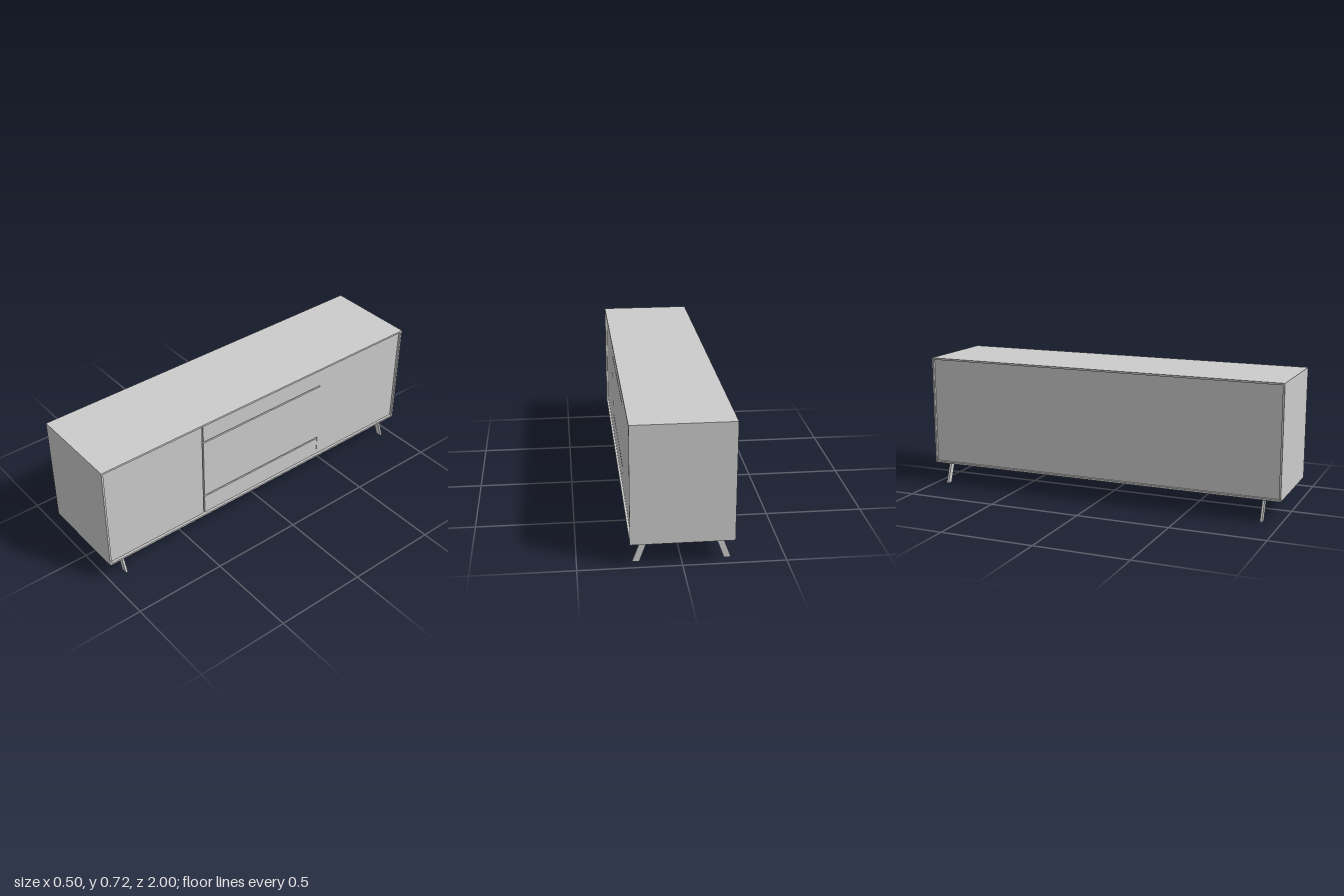
import * as THREE from 'three';

export function createModel() {
  const model = new THREE.Group();
  const material = new THREE.MeshStandardMaterial({ color: 0xcccccc, flatShading: true });

  // Box given by its limits on each axis
  function box(name, x0, x1, y0, y1, z0, z1) {
    const mesh = new THREE.Mesh(new THREE.BoxGeometry(x1 - x0, y1 - y0, z1 - z0), material);
    mesh.name = name;
    mesh.position.set((x0 + x1) / 2, (y0 + y1) / 2, (z0 + z1) / 2);
    model.add(mesh);
  }

  // Outer case, open on both long sides
  const D = 0.25, B = 0.12, T = 0.72, W = 0.01;
  box('topPanel', -D, D, T - W, T, -1, 1);
  box('bottomPanel', -D, D, B, B + W, -1, 1);
  box('endPanelFront', -D, D, B + W, T - W, 1 - W, 1);
  box('endPanelBack', -D, D, B + W, T - W, -1, -1 + W);

  // Rear panel and the inner body behind the door gaps
  box('rearPanel', -0.238, -0.226, B + W, T - W, -1 + W, 1 - W);
  box('innerBody', -0.226, 0.226, B + W, T - W, -1 + W, 1 - W);

  // Doors and drawer fronts, parted by narrow gaps: [name, y0, y1, z0, z1]
  const lo = B + W + 0.004, hi = T - W - 0.004, end = 0.986, g = 0.004;
  const fronts = [
    ['leftDoor', lo, hi, 0.4 + g, end],
    ['topDrawer', 0.6 + g, hi, -0.396, 0.4 - g],
    ['middleDrawer', 0.246 + g, 0.6 - g, -0.396, 0.4 - g],
    ['bottomDrawer', lo, 0.246 - g, -0.394, 0.4 - g],
    ['rightDoor', lo, hi, -end, -0.396],
  ];
  for (const [name, y0, y1, z0, z1] of fronts) box(name, 0.226, 0.24, y0, y1, z0, z1);

  // Splayed flat legs with level ends
  const leg = new THREE.Shape([[0.157, B], [0.202, 0], [0.236, 0], [0.191, B]]
    .map(([x, y]) => new THREE.Vector2(x, y)));
  const thick = 0.012;
  const legGeometry = new THREE.ExtrudeGeometry(leg, { depth: thick, bevelEnabled: false });
  legGeometry.translate(0, 0, -thick / 2);
  for (const z of [0.9, -0.934]) {
    for (const side of [1, -1]) {
      const mesh = new THREE.Mesh(legGeometry, material);
      mesh.name = (z > 0 ? 'front' : 'back') + (side > 0 ? 'Left' : 'Right') + 'Leg';
      mesh.position.set(side > 0 ? 0 : -0.004, 0, z);
      if (side < 0) mesh.rotation.y = Math.PI;
      model.add(mesh);
    }
  }
  return model;
}
